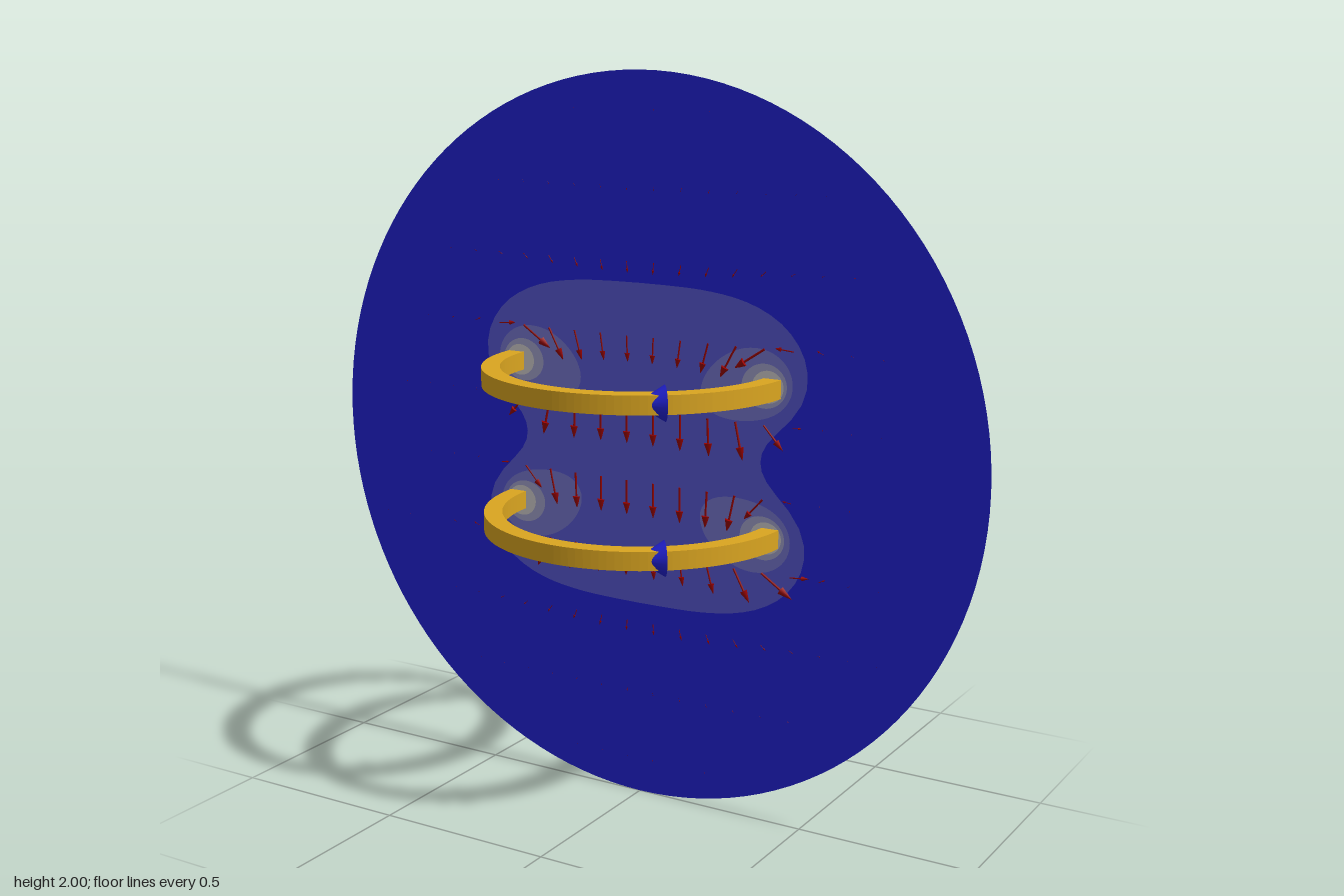
import * as THREE from 'three';
import { mergeGeometries } from 'three/addons/utils/BufferGeometryUtils.js';

const RADIUS = 0.4, HEIGHTS = [0.8, 1.2];

// In-plane field of the two current loops at (x, y, 0)
function field(x, y) {
  const n = 120;
  let bx = 0, by = 0;
  for (const h of HEIGHTS) {
    for (let i = 0; i < n; i++) {
      const a = ((i + 0.5) / n) * Math.PI * 2, c = Math.cos(a), s = Math.sin(a);
      const rx = x - RADIUS * c, ry = y - h, rz = -RADIUS * s;
      const k = RADIUS / n / Math.pow(rx * rx + ry * ry + rz * rz, 1.5);
      bx += -c * ry * k;
      by += (c * rx + s * rz) * k;
    }
  }
  return new THREE.Vector2(bx, by);
}

// Outline where the field crosses a level, traced on rays from (cx, cy)
function contour(cx, cy, level, start, step, limit) {
  const points = [];
  for (let i = 0; i < 96; i++) {
    const a = (i / 96) * Math.PI * 2, c = Math.cos(a), s = Math.sin(a);
    const strong = (r) => field(cx + r * c, cy + r * s).length() > level;
    const first = strong(start);
    let r = start;
    while (strong(r) === first && Math.abs(r - start) < limit) r += step;
    let lo = r - step, hi = r;
    for (let j = 0; j < 6; j++) {
      const mid = (lo + hi) / 2;
      if (strong(mid) === first) lo = mid; else hi = mid;
    }
    points.push(new THREE.Vector2(cx + lo * c, cy + lo * s));
  }
  return new THREE.Shape(points);
}

export function createModel() {
  const model = new THREE.Group();
  const mat = (name, color, side = THREE.FrontSide) => {
    const m = new THREE.MeshStandardMaterial({ color, side });
    m.name = name;
    return m;
  };
  const add = (name, geometry, material, parent = model) => {
    const mesh = new THREE.Mesh(geometry, material);
    mesh.name = name;
    parent.add(mesh);
    return mesh;
  };
  const blue = mat('fieldBlue', 0x2222d6, THREE.DoubleSide);
  const zones = [
    mat('paleBlue', 0x5858d4, THREE.DoubleSide),
    mat('lavender', 0x7878d0, THREE.DoubleSide),
    mat('greyLavender', 0xa2a2cc, THREE.DoubleSide),
    mat('offWhite', 0xd2cece, THREE.DoubleSide),
  ];
  const gold = mat('gold', 0xdaa520);
  const red = mat('darkRed', 0x9c0000);

  // Field disc
  add('fieldDisc', new THREE.CircleGeometry(1, 128), blue).position.y = 1;

  // Strength zones, layered on both faces of the disc
  const addZone = (shape, layer) => {
    const geometry = new THREE.ShapeGeometry(shape);
    for (const side of [1, -1]) {
      add('strengthZone' + layer, geometry, zones[layer]).position.z = side * 0.001 * (layer + 1);
    }
  };
  addZone(contour(0, 1, 1.92, 0.85, -0.02, 0.84), 0);
  for (const h of HEIGHTS) {
    for (const x of [-RADIUS, RADIUS]) {
      [3.84, 5.76, 7.68].forEach((level, i) => addZone(contour(x, h, level, 0.005, 0.01, 0.3), i + 1));
    }
  }

  // Coils: square-section rings with current direction cones
  const ring = new THREE.Shape().absarc(0, 0, 0.425, 0, Math.PI * 2);
  ring.holes.push(new THREE.Path().absarc(0, 0, 0.375, 0, Math.PI * 2, true));
  const ringGeometry = new THREE.ExtrudeGeometry(ring, { depth: 0.05, bevelEnabled: false, curveSegments: 64 });
  ringGeometry.translate(0, 0, -0.025).rotateX(-Math.PI / 2);
  const coneGeometry = new THREE.ConeGeometry(0.047, 0.075, 20).translate(0, 0.03, 0);
  const up = new THREE.Vector3(0, 1, 0);
  for (const h of HEIGHTS) {
    const coil = new THREE.Group();
    coil.name = 'coil';
    coil.position.y = h;
    add('coilRing', ringGeometry, gold, coil);
    for (const a of [0.89, -1.2]) {
      const cone = add('currentCone', coneGeometry, blue, coil);
      cone.position.set(RADIUS * Math.cos(a), 0, RADIUS * Math.sin(a));
      cone.quaternion.setFromUnitVectors(up, new THREE.Vector3(-Math.sin(a), 0, Math.cos(a)));
    }
    model.add(coil);
  }

  // Field arrows: unit arrow along +y, scaled by local strength
  const arrow = mergeGeometries([
    new THREE.CylinderGeometry(0.035, 0.035, 0.66, 8).translate(0, 0.33, 0),
    new THREE.ConeGeometry(0.115, 0.36, 10).translate(0, 0.82, 0),
  ]);
  for (let row = 0; row < 10; row++) {
    for (let col = 0; col < 24; col++) {
      const x = (col - 11.5) / 12, y = 0.1 + row * 0.2;
      if (Math.hypot(x, y - 1) > 0.93) continue;
      const b = field(x, y);
      const length = Math.min(0.11, 0.1 * Math.pow(b.length() / 3.58, 1.4));
      if (length < 0.002) continue;
      b.normalize();
      const mesh = add('fieldArrow', arrow, red);
      mesh.position.set(x, y, 0);
      mesh.scale.setScalar(length);
      mesh.quaternion.setFromUnitVectors(up, new THREE.Vector3(b.x, b.y, 0));
    }
  }
  return model;
}
